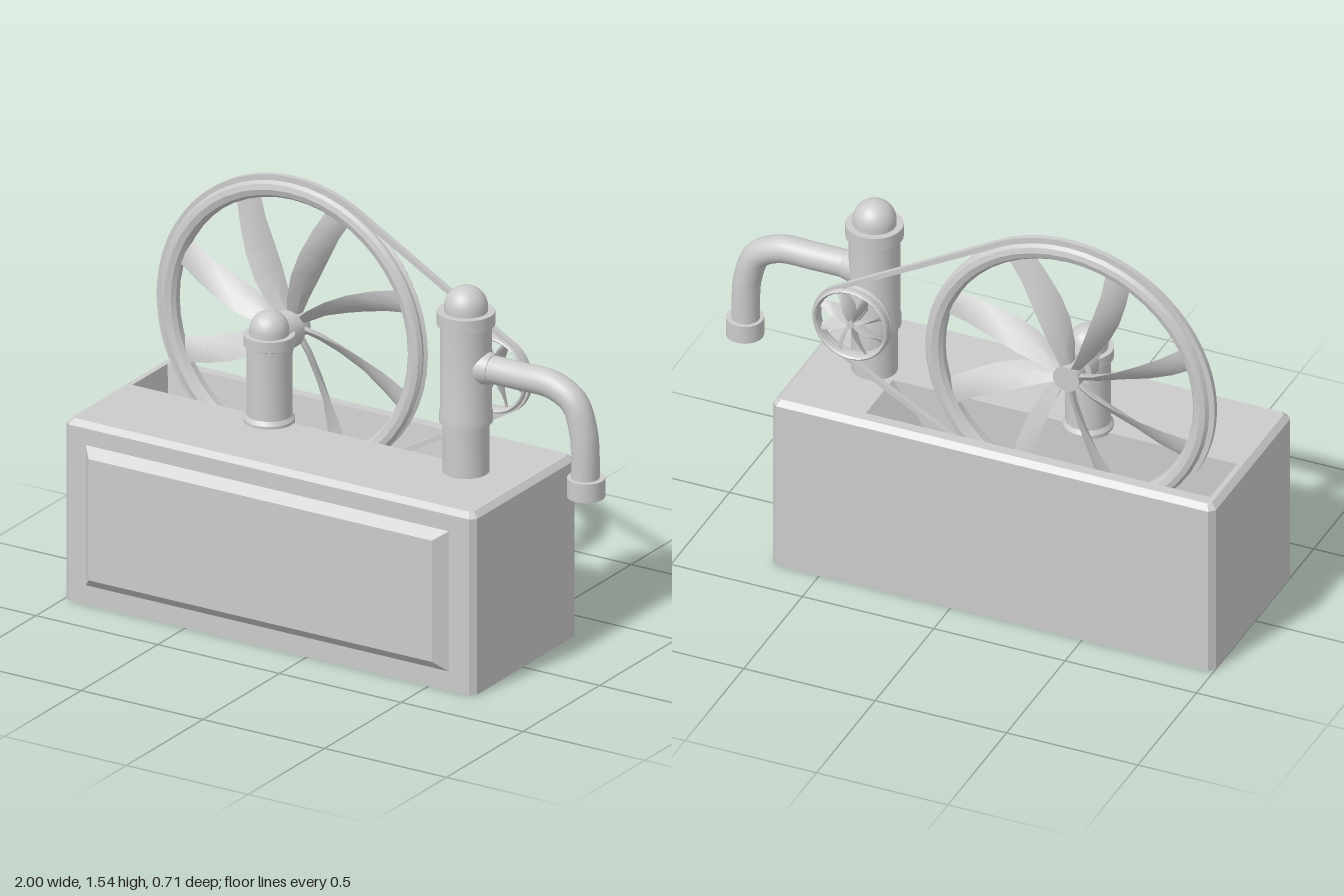
import * as THREE from 'three';
import { toCreasedNormals } from 'three/addons/utils/BufferGeometryUtils.js';

const material = new THREE.MeshStandardMaterial({ color: 0xcccccc });

function part(parent, name, geometry, x = 0, y = 0, z = 0) {
  const mesh = new THREE.Mesh(geometry, material);
  mesh.name = name;
  mesh.position.set(x, y, z);
  parent.add(mesh);
  return mesh;
}

// Joins rings of points (counter-clockwise about the axis) with quads and optional end caps
function loft(rings, capFirst = true, capLast = true, crease = 0.3) {
  const out = [];
  const tri = (a, b, c) => out.push(...a, ...b, ...c);
  const n = rings[0].length;
  for (let k = 0; k < rings.length - 1; k++) {
    const a = rings[k], b = rings[k + 1];
    for (let i = 0; i < n; i++) {
      const j = (i + 1) % n;
      tri(a[i], a[j], b[j]);
      tri(a[i], b[j], b[i]);
    }
  }
  const first = rings[0], last = rings[rings.length - 1];
  for (let i = 1; i < n - 1; i++) {
    if (capFirst) tri(first[0], first[i + 1], first[i]);
    if (capLast) tri(last[0], last[i], last[i + 1]);
  }
  const g = new THREE.BufferGeometry();
  g.setAttribute('position', new THREE.Float32BufferAttribute(out, 3));
  return toCreasedNormals(g, crease);
}

const rect = (x0, x1, y0, y1, h) => [[x0, y0, h], [x1, y0, h], [x1, y1, h], [x0, y1, h]];

function octagon(x0, x1, y0, y1, c, h) {
  return [[x0 + c, y0, h], [x1 - c, y0, h], [x1, y0 + c, h], [x1, y1 - c, h],
    [x1 - c, y1, h], [x0 + c, y1, h], [x0, y1 - c, h], [x0, y0 + c, h]];
}

const lathe = (pts, segments = 32) =>
  toCreasedNormals(new THREE.LatheGeometry(pts.map(p => new THREE.Vector2(...p)), segments), 0.5);

// Quarter-circle profile closing a lathe at the top
function dome(r, y, steps = 8) {
  return Array.from({ length: steps + 1 }, (_, i) => {
    const a = (i / steps) * Math.PI / 2;
    return [i === steps ? 0 : r * Math.cos(a), y + r * Math.sin(a)];
  });
}

// Chamfered cabinet with a well in the top for the wheel and belt
function cabinet() {
  const group = new THREE.Group();
  group.name = 'cabinet';
  const rim = octagon(-0.98, 0.665, -0.3, 0.335, 0.012, 0.68);
  const mouth = rect(-0.96, 0.35, 0.065, 0.295, 0.68);
  const floor = rect(-0.93, 0.13, 0.065, 0.255, 0.38);
  const toPath = ring => ring.map(p => new THREE.Vector2(p[0], p[1]));

  part(group, 'cabinetWalls', loft([
    octagon(-1, 0.685, -0.32, 0.355, 0.02, 0),
    octagon(-1, 0.685, -0.32, 0.355, 0.02, 0.66),
    rim,
  ], true, false).rotateX(-Math.PI / 2));

  const top = new THREE.Shape(toPath(rim));
  top.holes.push(new THREE.Path(toPath(mouth)));
  part(group, 'cabinetTop', new THREE.ShapeGeometry(top).translate(0, 0, 0.68).rotateX(-Math.PI / 2));
  part(group, 'wheelWell', loft([mouth, floor], false, true).rotateX(-Math.PI / 2));

  part(group, 'frontPanel', loft([
    rect(-0.91, 0.585, 0.07, 0.6, 0.318),
    rect(-0.875, 0.535, 0.11, 0.565, 0.356),
  ]));
  return group;
}

// One curved, twisted spoke with a diamond section: [radius, angle, half width, half thickness, pitch]
function spokeGeometry() {
  const stations = [
    [0.03, 0.3, 0.03, 0.012, 1.2],
    [0.11, 0.22, 0.046, 0.012, 1.05],
    [0.2, 0.15, 0.055, 0.012, 0.88],
    [0.29, 0.1, 0.054, 0.011, 0.68],
    [0.39, 0.05, 0.048, 0.01, 0.42],
    [0.49, 0, 0.047, 0.009, 0.2],
  ];
  const rings = stations.map(([r, a, w, h, pitch]) => {
    const centre = new THREE.Vector3(r * Math.cos(a), r * Math.sin(a), 0);
    const side = new THREE.Vector3(-Math.sin(a), Math.cos(a), 0);
    const axis = new THREE.Vector3(0, 0, 1);
    const chord = side.clone().multiplyScalar(Math.cos(pitch)).addScaledVector(axis, Math.sin(pitch));
    const normal = axis.clone().multiplyScalar(Math.cos(pitch)).addScaledVector(side, -Math.sin(pitch));
    return [[chord, w], [normal, h], [chord, -w], [normal, -h]]
      .map(([d, s]) => centre.clone().addScaledVector(d, s).toArray());
  });
  return loft(rings, true, true, 0.5);
}

// Grooved wheel facing +z
function wheel(name) {
  const group = new THREE.Group();
  group.name = name;
  const rim = [[0.476, 0.012], [0.476, -0.012], [0.488, -0.028], [0.51, -0.036], [0.53, -0.031], [0.54, -0.018],
    [0.528, -0.01], [0.528, 0.01], [0.54, 0.018], [0.53, 0.031], [0.51, 0.036], [0.488, 0.028], [0.476, 0.012]];
  part(group, 'rim', lathe(rim, 48).rotateX(Math.PI / 2));
  part(group, 'hub', new THREE.CylinderGeometry(0.05, 0.05, 0.06, 24).rotateX(Math.PI / 2));
  const spoke = spokeGeometry();
  for (let i = 0; i < 8; i++) {
    part(group, 'spoke', spoke).rotation.z = (i + 0.5) * Math.PI / 4;
  }
  return group;
}

// Open belt loop around two circles on the same level
function beltShape(bigR, smallR, distance) {
  const a = Math.acos((bigR - smallR) / distance);
  const shape = new THREE.Shape();
  shape.absarc(0, 0, bigR, a, 2 * Math.PI - a, false);
  shape.absarc(distance, 0, smallR, -a, a, false);
  shape.closePath();
  return shape;
}

export function createModel() {
  const model = new THREE.Group();
  model.name = 'pumpMachine';
  model.add(cabinet());

  const wheelX = -0.385, axleY = 0.98, pumpX = 0.44, wheelZ = -0.205, pumpZ = -0.018;

  // Wheel post and its axle
  part(model, 'wheelPost', lathe([[0.09, 0.675], [0.09, 0.69], [0.08, 0.705], [0.08, 0.96], [0.09, 0.965],
    [0.09, 1.005], [0.07, 1.005], ...dome(0.07, 1.02)]), wheelX, 0, -0.045);
  part(model, 'wheelAxle', new THREE.CylinderGeometry(0.068, 0.068, 0.12, 32).rotateX(Math.PI / 2),
    wheelX, axleY, -0.11);

  // Large wheel and small pulley
  const bigWheel = wheel('bigWheel');
  bigWheel.position.set(wheelX, axleY, wheelZ);
  const pulley = wheel('pulley');
  pulley.position.set(pumpX, axleY, wheelZ);
  pulley.scale.set(0.265, 0.265, 0.8);
  model.add(bigWheel, pulley);
  part(model, 'pulleyAxle', new THREE.CylinderGeometry(0.016, 0.016, 0.14, 16).rotateX(Math.PI / 2),
    pumpX, axleY, -0.14);

  // Belt
  const distance = pumpX - wheelX;
  const belt = beltShape(0.557, 0.15, distance);
  belt.holes.push(beltShape(0.535, 0.134, distance));
  part(model, 'belt', toCreasedNormals(
    new THREE.ExtrudeGeometry(belt, { depth: 0.02, bevelEnabled: false, curveSegments: 48 }), 0.5),
  wheelX, axleY, wheelZ - 0.01);

  // Pump column
  part(model, 'pumpColumn', lathe([[0.082, 0.675], [0.082, 0.865], [0.094, 0.868], [0.094, 0.9], [0.09, 0.92],
    [0.09, 1.225], [0.102, 1.23], [0.102, 1.28], [0.077, 1.28], ...dome(0.077, 1.295)]), pumpX, 0, pumpZ);

  // Spout with collar and nozzle
  const path = new THREE.CatmullRomCurve3([[0.48, 1.082], [0.66, 1.082], [0.8, 1.077], [0.885, 1.03],
    [0.922, 0.93], [0.93, 0.84], [0.93, 0.74]].map(([x, y]) => new THREE.Vector3(x, y, 0)));
  part(model, 'spoutPipe', new THREE.TubeGeometry(path, 40, 0.05, 24), 0, 0, pumpZ);
  part(model, 'spoutCollar', new THREE.CylinderGeometry(0.053, 0.064, 0.05, 32).rotateZ(-Math.PI / 2),
    0.525, 1.082, pumpZ);
  part(model, 'spoutNozzle', new THREE.CylinderGeometry(0.067, 0.067, 0.07, 32), 0.933, 0.725, pumpZ);

  return model;
}
